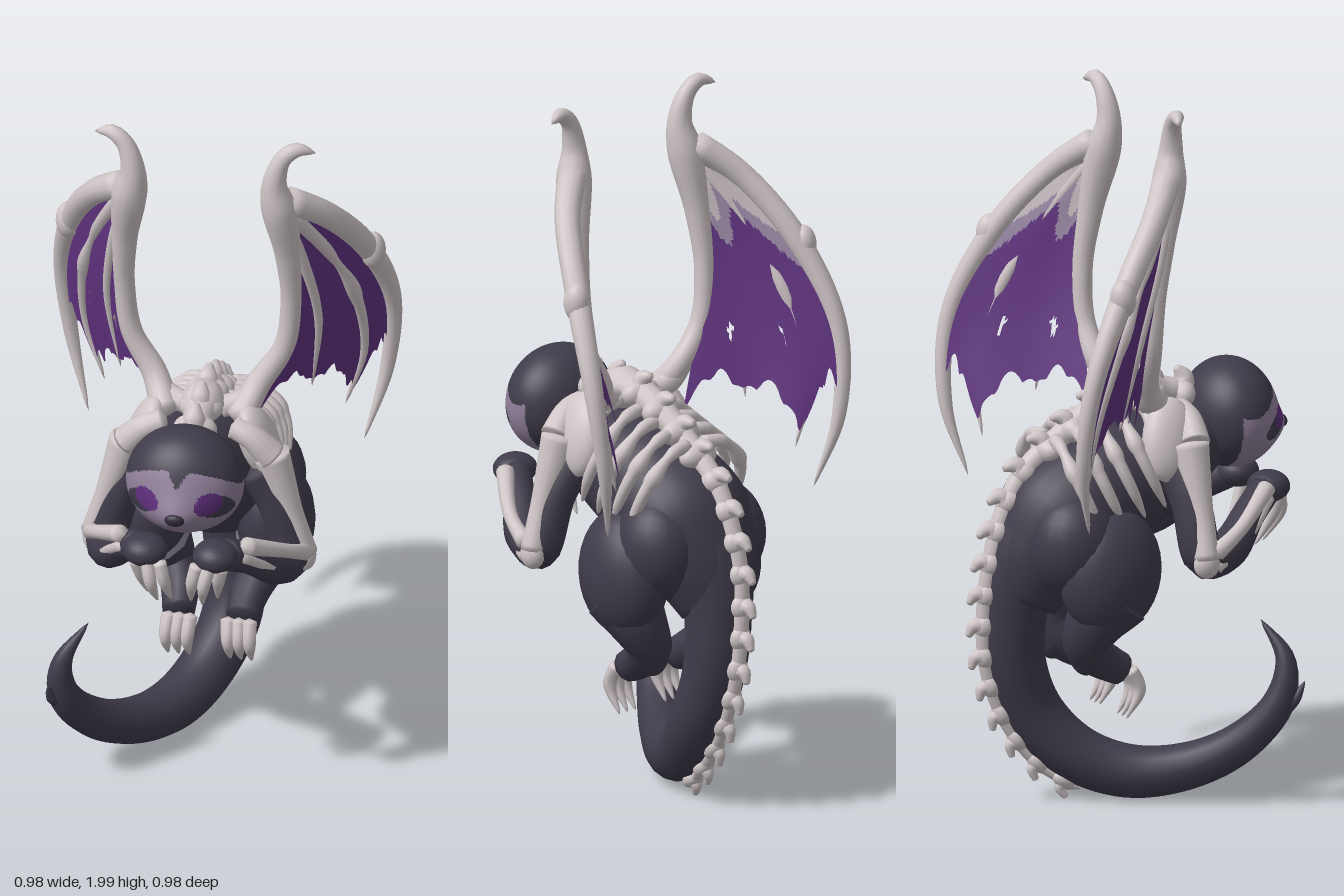
import * as THREE from 'three';
import { mergeVertices } from 'three/addons/utils/BufferGeometryUtils.js';

const material = (name, color, side = THREE.FrontSide) => {
  const m = new THREE.MeshStandardMaterial({ color, side });
  m.name = name;
  return m;
};
const fur = material('dark fur', 0x3f3b4a);
const bone = material('bone', 0xcfc5c7);
const purple = material('membrane purple', 0x613481, THREE.DoubleSide);
const lilac = material('lilac', 0x9c8ba8, THREE.DoubleSide);
const boneSheet = material('wing bone skin', 0xcbc1c5, THREE.DoubleSide);
const faceSkin = material('face mauve', 0x90809a);
const eyeColor = material('eye purple', 0x5f2f7c);
const noseColor = material('nose', 0x2f2a38);

const curveOf = pts => new THREE.CatmullRomCurve3(pts.map(p => new THREE.Vector3(p[0], p[1], p[2])));
const flip = (pts, s) => pts.map(([x, ...rest]) => [x * s, ...rest]);

export function createModel() {
  const root = new THREE.Group();
  root.name = 'creature';

  const add = (name, geo, mat) => {
    const mesh = new THREE.Mesh(geo, mat);
    mesh.name = name;
    root.add(mesh);
    return mesh;
  };
  const blob = (name, p, r, mat, rot = [0, 0, 0]) => {
    const mesh = add(name, new THREE.SphereGeometry(1, 24, 16), mat);
    mesh.position.set(...p);
    mesh.scale.set(...r);
    mesh.rotation.set(...rot);
  };
  // Swept tube through [x, y, z, radius] points, closed and rounded at both ends
  const limb = (name, pts, mat, sides = 12) => {
    const n = pts.length * 6, curve = curveOf(pts);
    const radius = curveOf(pts.map(p => [p[3], 0, 0]));
    const tube = new THREE.TubeGeometry(curve, n, 1, sides);
    const pos = tube.attributes.position, v = new THREE.Vector3();
    for (let i = 0; i <= n; i++) {
      const c = curve.getPointAt(i / n);
      const r = i % n === 0 ? 0 : Math.max(0.002, radius.getPoint(curve.getUtoTmapping(i / n)).x);
      for (let j = 0; j <= sides; j++) {
        const k = i * (sides + 1) + j;
        v.fromBufferAttribute(pos, k).sub(c).multiplyScalar(r).add(c);
        pos.setXYZ(k, v.x, v.y, v.z);
      }
    }
    tube.deleteAttribute('normal');
    tube.deleteAttribute('uv');
    const geo = mergeVertices(tube, 1e-5);
    geo.computeVertexNormals();
    add(name, geo, mat);
  };
  // Regroup triangle lists so each list takes its own material
  const setGroups = (geo, lists) => {
    geo.setIndex(lists.flat());
    let start = 0;
    lists.forEach((l, i) => { geo.addGroup(start, l.length, i); start += l.length; });
  };

  // Torso and tail
  limb('torso', [[0, 1.04, .27, .095], [0, .98, .16, .13], [0, .93, .05, .16], [0, .88, -.07, .18],
    [0, .8, -.18, .2], [0, .69, -.27, .155], [0, .56, -.33, .09]], fur, 28);
  limb('tail', [[0, .84, -.24, .135], [0, .7, -.31, .113], [.01, .56, -.34, .094], [.02, .41, -.335, .088],
    [.02, .25, -.275, .085], [-.03, .135, -.17, .08], [-.1, .085, -.04, .075], [-.19, .105, .1, .066],
    [-.28, .18, .22, .057], [-.345, .3, .305, .045], [-.345, .42, .325, .028], [-.28, .525, .28, .003]], fur, 18);
  limb('tailTuft', [[-.34, .27, .29, .035], [-.37, .31, .34, .02], [-.378, .36, .37, .002]], fur, 8);

  // Head with a pushed-out muzzle; colour zones chosen by position
  const head = new THREE.SphereGeometry(1, 120, 90);
  const hp = head.attributes.position;
  for (let i = 0; i < hp.count; i++) {
    const y = 1.055 + hp.getY(i) * .155;
    const x = hp.getX(i) * (.165 + .01 * Math.max(0, -hp.getY(i)));
    let z = .315 + hp.getZ(i) * .13;
    if (z > .315) z += .042 * Math.exp(-((x / .08) ** 2) - ((y - 1) / .065) ** 2);
    hp.setXYZ(i, x, y, z);
  }
  head.computeVertexNormals();
  const zone = (x, y, z) => {
    const ax = Math.abs(x), dx = ax - .088, dy = y - 1.045;
    if (z < .285) return 0;
    if ((dx / .036) ** 2 + (dy / .034) ** 2 < 1) return 2;
    const p = dx * .8 - dy * .6, q = dx * .6 + dy * .8;
    if (((p - .022) / .05) ** 2 + (q / .034) ** 2 < 1) return 0;
    if (ax < (y - 1.09) * .6) return 0;
    return (x / .178) ** 2 + ((y - 1.018) / .122) ** 2 < 1 ? 1 : 0;
  };
  const hl = [[], [], []], hi = head.index.array;
  for (let i = 0; i < hi.length; i += 3) {
    const t = [hi[i], hi[i + 1], hi[i + 2]];
    const mid = f => (f(t[0]) + f(t[1]) + f(t[2])) / 3;
    hl[zone(mid(k => hp.getX(k)), mid(k => hp.getY(k)), mid(k => hp.getZ(k)))].push(...t);
  }
  setGroups(head, hl);
  add('head', head, [fur, faceSkin, eyeColor]);
  blob('nose', [0, 1.012, .477], [.028, .018, .014], noseColor);

  // Spine: a cord carrying chunky vertebrae with backward spines
  const spinePts = [[0, 1.115, .2, .036], [0, 1.135, .1, .044], [0, 1.14, 0, .044], [0, 1.1, -.1, .04],
    [0, 1.03, -.21, .034], [0, .95, -.31, .03], [0, .84, -.375, .028], [0, .7, -.415, .027], [.01, .55, -.43, .025],
    [.02, .4, -.42, .023], [.02, .24, -.365, .02], [0, .11, -.27, .018], [-.04, .03, -.16, .01]];
  limb('spine', spinePts, bone);
  const spine = curveOf(spinePts), count = 18;
  for (let i = 0; i < count; i++) {
    const u = (i + .4) / count, p = spine.getPointAt(u), t = spine.getTangentAt(u);
    const out = new THREE.Vector3(0, -t.z, t.y).normalize();
    const size = 1 - .5 * u, w = u < .35 ? .062 : .044 * size + .004;
    blob('vertebra', p.toArray(), [w, .045 * size, .038], bone, [Math.atan2(-t.y, t.z), 0, 0]);
    const a = p.clone().addScaledVector(out, .01), b = p.clone().addScaledVector(out, .045 * size);
    const c = p.clone().addScaledVector(out, .075 * size).addScaledVector(t, .03);
    limb('spineThorn', [[...a.toArray(), .04 * size], [...b.toArray(), .03 * size], [...c.toArray(), .008]], bone, 10);
  }

  for (const s of [1, -1]) {
    const tube = (name, pts, mat, sides) => limb(name, flip(pts, s), mat, sides);

    // Ribs
    for (let i = 0; i < 5; i++) {
      const z = .03 - .063 * i, y = 1.125 - .022 * i;
      tube('rib', [[.02, y, z - .01, .02], [.1, y - .01, z - .025, .018], [.174, y - .09, z - .01, .018],
        [.19, y - .18, z + .03, .015], [.17, y - .26, z + .075, .004]], bone, 10);
    }

    // Hind leg
    blob('thigh', [.17 * s, .68, -.13], [.108, .18, .15], fur, [.2, 0, .12 * s]);
    blob('hip', [.12 * s, .755, -.21], [.12, .15, .135], fur);
    tube('hindLeg', [[.17, .62, -.11, .11], [.155, .54, -.17, .085], [.125, .465, -.185, .062],
      [.1, .42, -.135, .056], [.088, .37, -.05, .045]], fur);
    blob('heel', [.108 * s, .44, -.175], [.05, .065, .048], fur);
    for (const x of [.058, .088, .118])
      tube('hindClaw', [[x - .005, .385, -.045, .022], [x, .32, -.015, .019], [x, .24, -.055, .003]], bone, 8);

    // Front arm flesh
    tube('arm', [[.15, .98, .08, .065], [.22, .86, .095, .056], [.258, .71, .12, .057], [.238, .725, .2, .056],
      [.17, .805, .3, .046], [.11, .855, .38, .045]], fur);
    blob('hand', [.1 * s, .855, .39], [.064, .045, .06], fur);
    for (const [x, z] of [[.04, .385], [.075, .4], [.11, .36]])
      tube('frontClaw', [[x + .015, .845, .42, .02], [x, .78, z + .04, .018], [x - .012, .69, z - .01, .003]], bone, 8);

    // Shoulder and arm bones
    blob('shoulderBlade', [.16 * s, 1.035, .055], [.05, .12, .08], bone, [.22, 0, .32 * s]);
    tube('collarBone', [[.09, 1.11, .11, .032], [.15, 1.085, .12, .036], [.212, 1.02, .112, .045]], bone);
    tube('upperArmBone', [[.198, 1.04, .1, .054], [.226, .95, .103, .045], [.268, .82, .107, .033],
      [.303, .7, .104, .036]], bone);
    blob('elbow', [.3 * s, .705, .105], [.03, .042, .038], bone);
    tube('forearmBone', [[.305, .725, .12, .026], [.275, .787, .22, .02], [.168, .878, .36, .026]], bone);
    tube('forearmBone', [[.3, .688, .12, .023], [.265, .728, .22, .017], [.158, .848, .37, .018]], bone);

    // Wing bones
    const arm = [[.1, 1.09, .07, .042], [.145, 1.18, -.005, .036], [.215, 1.3, -.025, .03], [.235, 1.45, -.022, .029],
      [.23, 1.62, .002, .036], [.212, 1.78, .03, .05], [.2, 1.87, .042, .035], [.222, 1.95, .037, .025],
      [.262, 1.982, .03, .021], [.312, 1.968, .015, .004]];
    const inner = [[.22, 1.77, .03, .02], [.27, 1.57, -.03, .017], [.295, 1.36, -.1, .015], [.27, 1.1, -.15, .004]];
    const middle = [[.23, 1.78, .03, .022], [.33, 1.57, -.1, .018], [.385, 1.36, -.21, .018],
      [.39, 1.15, -.28, .014], [.34, .97, -.28, .003]];
    const outer = [[.215, 1.82, .03, .042], [.33, 1.715, -.07, .036], [.42, 1.53, -.21, .034],
      [.465, 1.3, -.32, .027], [.445, 1.06, -.345, .02], [.39, .85, -.3, .003]];
    tube('wingArm', arm, bone);
    tube('innerFinger', inner, bone, 10);
    tube('middleFinger', middle, bone, 10);
    tube('outerFinger', outer, bone);
    blob('wingKnuckle', [.43 * s, 1.525, -.215], [.036, .055, .038], bone);
    tube('wingRoot', [[.04, 1.12, .04, .03], [.12, 1.14, .01, .035], [.17, 1.21, -.03, .02]], bone);

    // Wing membrane: ragged sheet spanning the fingers, patched at the back
    const edge = [[.215, 1.78, .03], [.235, 1.6, 0], [.23, 1.4, -.025], [.14, 1.07, -.045]];
    const rails = [edge, inner, middle, outer].map(r => curveOf(flip(r, s)));
    const cols = 56, rows = 48;
    const holes = [[.25, .73, .035], [.56, .68, .025]];
    const reach = u => (u < .6 ? 1 : 1 - (u - .6) * .6)
      - .09 * Math.abs(Math.sin(3 * Math.PI * u)) - .04 * Math.abs(Math.sin(23 * u));
    const sheet = (name, offset, zoneOf, mats) => {
      const verts = [], lists = mats.map(() => []);
      for (let i = 0; i <= cols; i++) for (let j = 0; j <= rows; j++) {
        const u = i / cols, v = j / rows * reach(u);
        const p = new THREE.CatmullRomCurve3(rails.map(r => r.getPointAt(v))).getPoint(u);
        verts.push(p.x - s * .85 * offset, p.y, p.z - .5 * offset);
      }
      for (let i = 0; i < cols; i++) for (let j = 0; j < rows; j++) {
        const u = (i + .5) / cols, v = (j + .5) / rows * reach(u);
        if (holes.some(([a, b, r]) => Math.abs(u - a) + Math.abs(v - b) * .7 < r)) continue;
        const a = i * (rows + 1) + j, b = a + rows + 1;
        const quad = s > 0 ? [a, a + 1, b, b, a + 1, b + 1] : [a, b, a + 1, b, b + 1, a + 1];
        lists[zoneOf(u, v)].push(...quad);
      }
      const geo = new THREE.BufferGeometry();
      geo.setAttribute('position', new THREE.Float32BufferAttribute(verts, 3));
      setGroups(geo, lists);
      geo.computeVertexNormals();
      add(name, geo, mats);
    };
    sheet('wingMembrane', -.004, () => 0, [purple]);
    sheet('wingBack', .018, (u, v) => {
      const limit = .1 + .17 * Math.exp(-(((u - .42) / .13) ** 2)) + .24 * THREE.MathUtils.smoothstep(u, .6, .95);
      return v < limit ? 2 : v < limit + .1 ? 1 : 0;
    }, [purple, lilac, boneSheet]);
  }
  return root;
}
